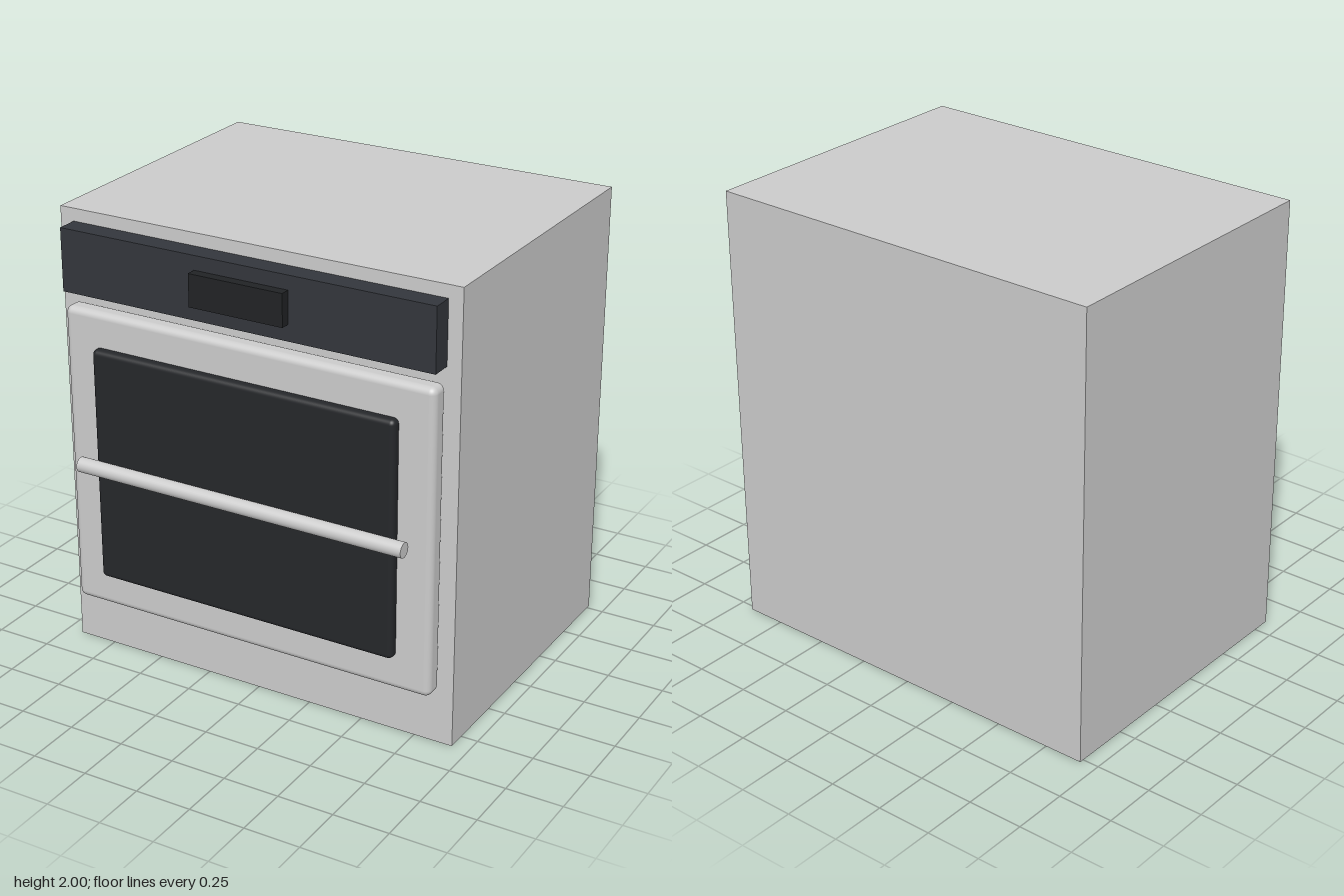
import * as THREE from 'three';
import { RoundedBoxGeometry } from 'three/addons/geometries/RoundedBoxGeometry.js';

const steel = new THREE.MeshStandardMaterial({ color: 0xcccccc });
const panelDark = new THREE.MeshStandardMaterial({ color: 0x33363c });
const glass = new THREE.MeshStandardMaterial({ color: 0x25272a });
const screen = new THREE.MeshStandardMaterial({ color: 0x212325 });

export function createModel() {
  const oven = new THREE.Group();
  oven.name = 'oven';

  // Box given by half width, y range and z range; radius > 0 rounds its edges
  const box = (name, material, hw, [y0, y1], [z0, z1], radius = 0) => {
    const size = [2 * hw, y1 - y0, z1 - z0];
    const geometry = radius
      ? new RoundedBoxGeometry(...size, 4, radius)
      : new THREE.BoxGeometry(...size);
    const mesh = new THREE.Mesh(geometry, material);
    mesh.name = name;
    mesh.position.set(0, (y0 + y1) / 2, (z0 + z1) / 2);
    oven.add(mesh);
  };

  // Cabinet
  box('cabinet', steel, 0.925, [0, 2], [-0.77, 0.585]);

  // Control panel with its display
  box('controlPanel', panelDark, 0.862, [1.668, 1.944], [0.585, 0.677]);
  box('display', screen, 0.216, [1.74, 1.882], [0.66, 0.72]);

  // Door with raised window
  box('door', steel, 0.862, [0.25, 1.605], [0.585, 0.677], 0.03);
  box('doorWindow', glass, 0.708, [0.402, 1.453], [0.655, 0.715], 0.022);

  // Bar handle across the door
  const handle = new THREE.Mesh(new THREE.CylinderGeometry(0.033, 0.033, 1.543, 32), steel);
  handle.name = 'handle';
  handle.rotation.z = Math.PI / 2;
  handle.position.set(0, 0.928, 0.736);
  oven.add(handle);

  return oven;
}
